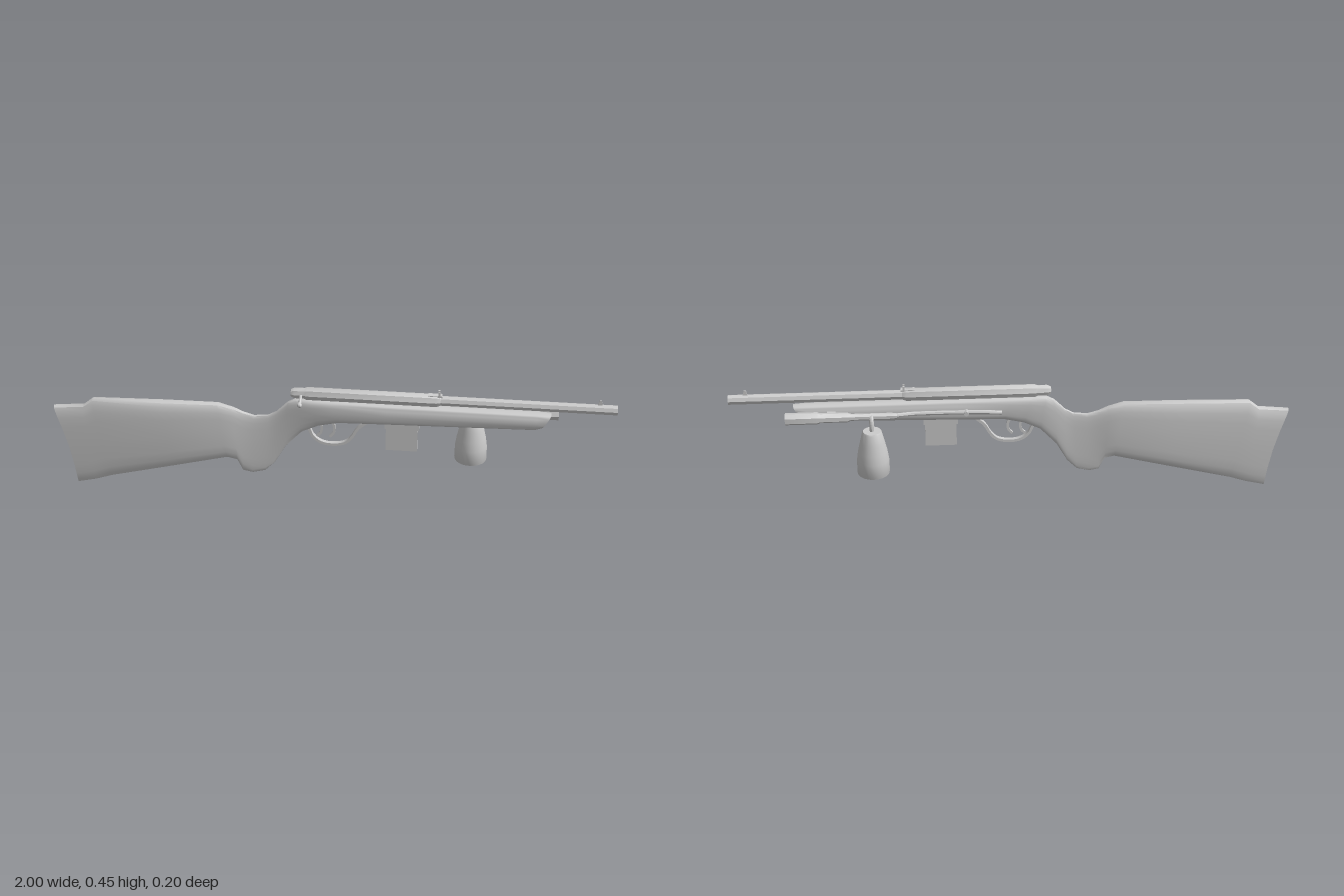
import * as THREE from 'three';
import { toCreasedNormals } from 'three/addons/utils/BufferGeometryUtils.js';

const MID = 0.035; // z of the rifle's centre plane
const grey = new THREE.MeshStandardMaterial({ color: 0xcccccc, side: THREE.DoubleSide });

function part(name, geometry, x = 0, y = 0, z = 0, crease = 0.6) {
  const mesh = new THREE.Mesh(toCreasedNormals(geometry, crease), grey);
  mesh.name = name;
  mesh.position.set(x, y, z);
  return mesh;
}

// Profile of [radius, x] points turned around an axis along x
function turnedX(profile, sides) {
  const g = new THREE.LatheGeometry(profile.map(p => new THREE.Vector2(...p)), sides);
  return g.rotateZ(-Math.PI / 2);
}

function rod(points, radius, sides = 8, steps = 24) {
  const curve = new THREE.CatmullRomCurve3(points.map(p => new THREE.Vector3(...p)));
  return new THREE.TubeGeometry(curve, steps, radius, sides);
}

// Flat plate cut from an outline in xy, centred on z
function plate(outline, depth) {
  const shape = new THREE.Shape(outline.map(p => new THREE.Vector2(...p)));
  return new THREE.ExtrudeGeometry(shape, { depth, bevelEnabled: false }).translate(0, 0, -depth / 2);
}

// Curved strip of even width in the xy plane
function strip(points, width, depth) {
  const curve = new THREE.CatmullRomCurve3(points.map(p => new THREE.Vector3(p[0], p[1], 0)));
  const upper = [], lower = [];
  for (let i = 0; i <= 16; i++) {
    const p = curve.getPoint(i / 16), t = curve.getTangent(i / 16);
    upper.push([p.x - t.y * width / 2, p.y + t.x * width / 2]);
    lower.unshift([p.x + t.y * width / 2, p.y - t.x * width / 2]);
  }
  return plate([...upper, ...lower], depth);
}

// Loft of rounded sections: [topX, topY, bottomX, bottomY, upper half width, lower half width, bow]
function loft(sections) {
  const N = 20, pos = [], index = [];
  const soft = v => Math.sign(v) * Math.abs(v) ** 0.6;
  for (const [tx, ty, bx, by, wt, wb, bow = 0] of sections) {
    for (let i = 0; i < N; i++) {
      const a = (i / N) * Math.PI * 2;
      const s = (soft(Math.sin(a)) + 1) / 2;
      const w = wb + (wt - wb) * s;
      pos.push(bx + (tx - bx) * s + bow * 4 * s * (1 - s), by + (ty - by) * s, w * soft(Math.cos(a)));
    }
  }
  for (let r = 0; r < sections.length - 1; r++) {
    for (let i = 0; i < N; i++) {
      const a = r * N + i, b = r * N + (i + 1) % N;
      index.push(a, a + N, b, b, a + N, b + N);
    }
  }
  // End caps
  [0, sections.length - 1].forEach((r, end) => {
    const [tx, ty, bx, by, , , bow = 0] = sections[r];
    const c = pos.length / 3;
    pos.push((tx + bx) / 2 + bow, (ty + by) / 2, 0);
    for (let i = 0; i < N; i++) {
      const a = r * N + i, b = r * N + (i + 1) % N;
      index.push(c, end ? b : a, end ? a : b);
    }
  });
  const g = new THREE.BufferGeometry();
  g.setAttribute('position', new THREE.Float32BufferAttribute(pos, 3));
  g.setIndex(index);
  return g;
}

export function createModel() {
  const model = new THREE.Group();
  model.name = 'rifle';

  // Stock from butt through grip to fore-end
  model.add(part('stock', loft([
    [-1, 0.32, -0.93, 0.005, 0.025, 0.02, 0.014],
    [-0.89, 0.33, -0.86, 0.022, 0.028, 0.022],
    [-0.855, 0.358, -0.8, 0.042, 0.03, 0.024],
    [-0.6, 0.363, -0.58, 0.098, 0.031, 0.029],
    [-0.4, 0.365, -0.37, 0.15, 0.026, 0.026],
    [-0.345, 0.35, -0.335, 0.14, 0.02, 0.018],
    [-0.31, 0.336, -0.315, 0.095, 0.015, 0.013],
    [-0.27, 0.325, -0.28, 0.088, 0.01, 0.01],
    [-0.22, 0.33, -0.235, 0.1, 0.008, 0.008],
    [-0.19, 0.346, -0.2, 0.135, 0.008, 0.008],
    [-0.15, 0.386, -0.16, 0.205, 0.014, 0.01],
    [-0.12, 0.4, -0.1, 0.27, 0.02, 0.014],
    [-0.07, 0.402, -0.04, 0.3, 0.026, 0.02],
    [0, 0.402, 0.03, 0.317, 0.027, 0.025],
    [0.2, 0.4, 0.2, 0.322, 0.027, 0.027],
    [0.73, 0.397, 0.72, 0.334, 0.026, 0.026],
    [0.775, 0.394, 0.745, 0.342, 0.022, 0.02],
  ]), 0, 0, MID, 0.75));

  // Barrel with an open muzzle, and the receiver tube behind it
  model.add(part('barrel', turnedX(
    [[0, 0.3], [0.018, 0.3], [0.018, 1], [0.013, 1], [0.013, 0.97], [0, 0.97]], 8), 0, 0.423, MID));
  model.add(part('receiver', turnedX(
    [[0, -0.14], [0.014, -0.137], [0.02, -0.125], [0.02, -0.09], [0.024, -0.08], [0.024, 0.375], [0.018, 0.39]], 8),
  0, 0.423, MID));

  // Bolt handle
  const bolt = new THREE.Group();
  bolt.name = 'boltHandle';
  bolt.add(part('boltArm', rod([[-0.1, 0.42, 0.04], [-0.1, 0.421, 0.058], [-0.1, 0.413, 0.075], [-0.1, 0.406, 0.09]], 0.005)));
  bolt.add(part('boltKnob', new THREE.SphereGeometry(0.009, 10, 8), -0.1, 0.405, 0.092, 2));
  model.add(bolt);

  // Sights: notched pair at the rear, single blade at the front
  for (const side of [-1, 1]) {
    model.add(part('rearSight', new THREE.BoxGeometry(0.007, 0.022, 0.005), 0.384, 0.448, MID + side * 0.008));
  }
  model.add(part('rearSightBase', new THREE.BoxGeometry(0.05, 0.006, 0.022), 0.37, 0.442, MID));
  model.add(part('frontSight', plate([[0.93, 0.438], [0.948, 0.438], [0.943, 0.457], [0.936, 0.457]], 0.005), 0, 0, MID));

  // Trigger guard and twin triggers
  model.add(part('triggerGuard', strip(
    [[-0.075, 0.29], [-0.06, 0.255], [-0.03, 0.232], [0.01, 0.226], [0.055, 0.235], [0.08, 0.26], [0.1, 0.295], [0.135, 0.325]],
    0.01, 0.016), 0, 0, MID));
  for (const x of [-0.035, 0.01]) {
    model.add(part('trigger', strip(
      [[x - 0.005, 0.325], [x + 0.006, 0.295], [x + 0.003, 0.27], [x - 0.01, 0.255]], 0.009, 0.009), 0, 0, MID));
  }

  // Magazine
  model.add(part('magazine', new THREE.BoxGeometry(0.112, 0.1, 0.018), 0.256, 0.268, MID));
  model.add(part('magazineCollar', new THREE.BoxGeometry(0.122, 0.022, 0.027), 0.256, 0.316, MID));

  // Side torch with a recessed front
  const torch = new THREE.Group();
  torch.name = 'sideTorch';
  torch.add(part('torchBody', turnedX([
    [0, 0.41], [0.009, 0.41], [0.012, 0.43], [0.012, 0.57], [0.018, 0.585], [0.018, 0.68], [0.022, 0.69],
    [0.022, 0.802], [0.018, 0.802], [0.018, 0.785], [0, 0.785]], 7), 0, 0.367, -0.018));
  torch.add(part('sideRod', rod(
    [[0.04, 0.352, 0.008], [0.07, 0.358, 0.002], [0.16, 0.362, 0.001], [0.36, 0.363, 0], [0.4, 0.366, -0.012], [0.44, 0.367, -0.018]],
    0.008)));
  torch.add(part('rodClamp', new THREE.CylinderGeometry(0.009, 0.009, 0.024, 8).rotateX(Math.PI / 2), 0.165, 0.362, -0.002));
  torch.add(part('torchMount', new THREE.BoxGeometry(0.03, 0.022, 0.03), 0.64, 0.367, 0.002));
  model.add(torch);

  // Hanging canister on a bent neck
  const canister = new THREE.Group();
  canister.name = 'canister';
  const profile = [[0, 0.155], [0.056, 0.155], [0.058, 0.16], [0.057, 0.21], [0.052, 0.245], [0.044, 0.28],
    [0.035, 0.317], [0.032, 0.322], [0, 0.322]].map(p => new THREE.Vector2(...p));
  canister.add(part('canisterBody', new THREE.LatheGeometry(profile, 20), 0.5, 0, -0.041));
  canister.add(part('canisterNeck', rod([[0.5, 0.315, -0.041], [0.5, 0.35, -0.04], [0.5, 0.365, -0.033], [0.5, 0.367, -0.015]], 0.008)));
  model.add(canister);

  return model;
}
